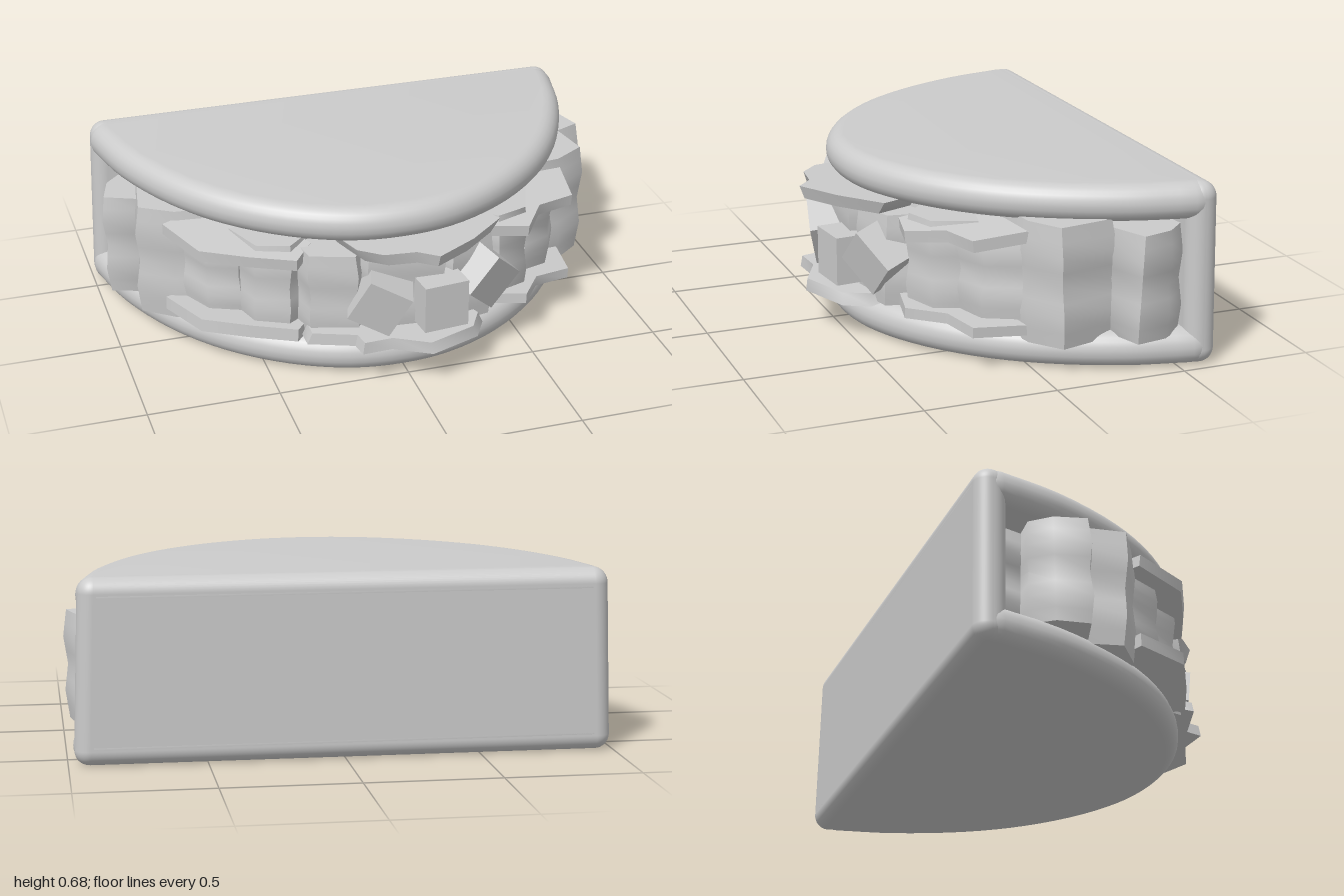
import * as THREE from 'three';
import { toCreasedNormals } from 'three/addons/utils/BufferGeometryUtils.js';
import { RoundedBoxGeometry } from 'three/addons/geometries/RoundedBoxGeometry.js';

const grey = new THREE.MeshStandardMaterial({ color: 0xcccccc });

function add(parent, name, geometry) {
  const mesh = new THREE.Mesh(geometry, grey);
  mesh.name = name;
  parent.add(mesh);
  return mesh;
}

// Half-round plan of the bread, flat at the back; [x, z] pairs
const HALF = [[0.98, -0.55], [0.92, -0.31], [0.79, -0.03], [0.63, 0.18], [0.42, 0.35], [0.2, 0.45]];
const RIM = [...HALF, [0, 0.476], ...HALF.map(([x, z]) => [-x, z]).reverse()];

function breadShape() {
  const curve = new THREE.CatmullRomCurve3(RIM.map(([x, z]) => new THREE.Vector3(x, -z, 0)));
  const s = new THREE.Shape();
  s.moveTo(-0.91, 0.648);
  s.lineTo(0.91, 0.648);
  s.quadraticCurveTo(0.98, 0.64, 0.98, 0.55);
  curve.getPoints(48).slice(1).forEach(p => s.lineTo(p.x, p.y));
  s.quadraticCurveTo(-0.98, 0.64, -0.91, 0.648);
  return s;
}

// The bread narrows a little towards the top
function narrow(g) {
  const p = g.attributes.position;
  for (let i = 0; i < p.count; i++) p.setX(i, p.getX(i) * (1.009 - 0.034 * p.getY(i)) - 0.007);
  return g;
}

function breadSlab(y) {
  const r = 0.064;
  const g = new THREE.ExtrudeGeometry(breadShape(), {
    depth: 0.136 - 2 * r, bevelEnabled: true, bevelThickness: r, bevelSize: r,
    bevelOffset: -r, bevelSegments: 6, curveSegments: 6
  });
  g.rotateX(-Math.PI / 2).translate(0, y + r, 0);
  return toCreasedNormals(narrow(g), 0.7);
}

// Upright prism over a plan polygon; wave bulges it twice over its height,
// twist turns it and flare widens it from bottom to top
function prism(plan, y0, y1, { wave = 0, twist = 0, flare = 0 } = {}) {
  const cx = plan.reduce((s, p) => s + p[0], 0) / plan.length;
  const cz = plan.reduce((s, p) => s + p[1], 0) / plan.length;
  const shape = new THREE.Shape(plan.map(([x, z]) => new THREE.Vector2(x - cx, cz - z)));
  const g = new THREE.ExtrudeGeometry(shape, { depth: 1, steps: wave ? 8 : 1, bevelEnabled: false });
  g.rotateX(-Math.PI / 2);
  const p = g.attributes.position;
  for (let i = 0; i < p.count; i++) {
    const t = p.getY(i);
    const k = (1 - wave * (1 + Math.cos(t * 4 * Math.PI)) / 2) * (1 + flare * (t - 1));
    const a = twist * (t - 0.5), x = p.getX(i) * k, z = p.getZ(i) * k;
    p.setXYZ(i, cx + x * Math.cos(a) - z * Math.sin(a), y0 + (y1 - y0) * t,
      cz + x * Math.sin(a) + z * Math.cos(a));
  }
  return toCreasedNormals(g, 0.95);
}

// Thin slice, tilted by rx and rz about its own centre
function slice(plan, y0, y1, rx, rz, flare = 0) {
  const g = prism(plan, y0, y1, { flare });
  g.computeBoundingBox();
  const c = g.boundingBox.getCenter(new THREE.Vector3());
  return g.translate(-c.x, -c.y, -c.z).rotateX(rx).rotateZ(rz).translate(c.x, c.y, c.z);
}

export function createModel() {
  const model = new THREE.Group();
  model.name = 'filledFlatbread';

  // Folded bread: two slabs joined by the back wall
  const bread = new THREE.Group();
  bread.name = 'bread';
  model.add(bread);
  add(bread, 'lowerBread', breadSlab(0));
  add(bread, 'upperBread', breadSlab(0.544));
  add(bread, 'backFold', narrow(new RoundedBoxGeometry(1.955, 0.68, 0.118, 6, 0.057).translate(0, 0.34, -0.589)));

  const filling = new THREE.Group();
  filling.name = 'filling';
  model.add(filling);

  // Core behind the loose pieces
  const core = RIM.map(([x, z]) => [x * 0.88, z * 0.86 - 0.05]);
  add(filling, 'fillingCore', prism(core, 0.13, 0.52, { wave: 0.04 }));

  // Wavy chunks round the rim: plan, bottom, top, shift in z on the right-hand side
  const chunks = [
    [[[0.9, -0.53], [0.97, -0.45], [1.0, -0.32], [0.84, -0.26], [0.68, -0.34], [0.7, -0.52]], 0.12, 0.525, 0.09],
    [[[0.86, -0.29], [0.91, -0.06], [0.78, 0.03], [0.58, 0.06], [0.56, -0.2]], 0.105, 0.56, 0],
    [[[0.78, -0.04], [0.69, 0.16], [0.57, 0.21], [0.4, 0.08], [0.55, -0.1]], 0.18, 0.5, 0],
    [[[0.6, 0.12], [0.54, 0.3], [0.41, 0.35], [0.29, 0.25], [0.4, 0.08]], 0.16, 0.52, 0],
    [[[0.4, 0.22], [0.36, 0.41], [0.18, 0.46], [0.08, 0.28]], 0.15, 0.5, 0]
  ];
  for (const side of [1, -1]) {
    chunks.forEach(([plan, y0, y1, shift], i) => {
      const pts = plan.map(([x, z]) => [side * x, side < 0 ? z + shift : z]);
      add(filling, 'fillingChunk', prism(pts, y0, y1, { wave: 0.09, twist: side * (i % 2 ? 0.1 : -0.1) }));
    });
  }
  add(filling, 'middleChunk', prism([[-0.22, 0.2], [0.22, 0.2], [0.15, 0.48], [-0.15, 0.47]], 0.15, 0.54, { wave: 0.07 }));

  // Thin slices poking out above and below the chunks
  const rightPlan = [[0.78, 0.0], [0.75, 0.22], [0.6, 0.26], [0.51, 0.39], [0.37, 0.36], [0.35, 0.12], [0.58, -0.03]];
  const leftPlan = [[-0.82, 0.03], [-0.73, 0.24], [-0.56, 0.33], [-0.4, 0.4], [-0.32, 0.3], [-0.45, 0.05], [-0.7, -0.02]];
  add(filling, 'rightUpperSlice', slice(rightPlan, 0.465, 0.51, 0.11, -0.02));
  add(filling, 'leftUpperSlice', slice(leftPlan, 0.465, 0.51, 0.11, 0.02));
  add(filling, 'rightLowerSlice', slice(rightPlan, 0.145, 0.185, -0.03, -0.05));
  add(filling, 'leftLowerSlice', slice(leftPlan, 0.15, 0.2, -0.03, -0.05));
  add(filling, 'frontUpperSlice', slice([[-0.26, 0.3], [-0.2, 0.5], [-0.12, 0.57], [0, 0.585],
    [0.07, 0.645], [0.23, 0.55], [0.38, 0.42], [0.3, 0.25]], 0.505, 0.555, -0.03, 0.01, 0.12));
  add(filling, 'frontLowerSlice', slice([[-0.36, 0.38], [-0.36, 0.45], [-0.2, 0.5], [-0.19, 0.56], [-0.08, 0.55],
    [0.05, 0.615], [0.24, 0.54], [0.29, 0.45], [0.2, 0.25], [-0.25, 0.25]], 0.15, 0.195, 0.03, -0.03, -0.06));

  // Diced cubes at the front: position, then rotation
  const cubes = [
    [-0.1, 0.325, 0.46, 0.15, -0.3, -0.45],
    [0.12, 0.295, 0.475, 0, 0.1, 0],
    [0.31, 0.34, 0.41, 0.25, 0.4, 0.75]
  ];
  for (const [x, y, z, rx, ry, rz] of cubes) {
    const cube = add(filling, 'dicedCube', new THREE.BoxGeometry(0.175, 0.185, 0.17));
    cube.position.set(x, y, z);
    cube.rotation.set(rx, ry, rz);
  }

  return model;
}
